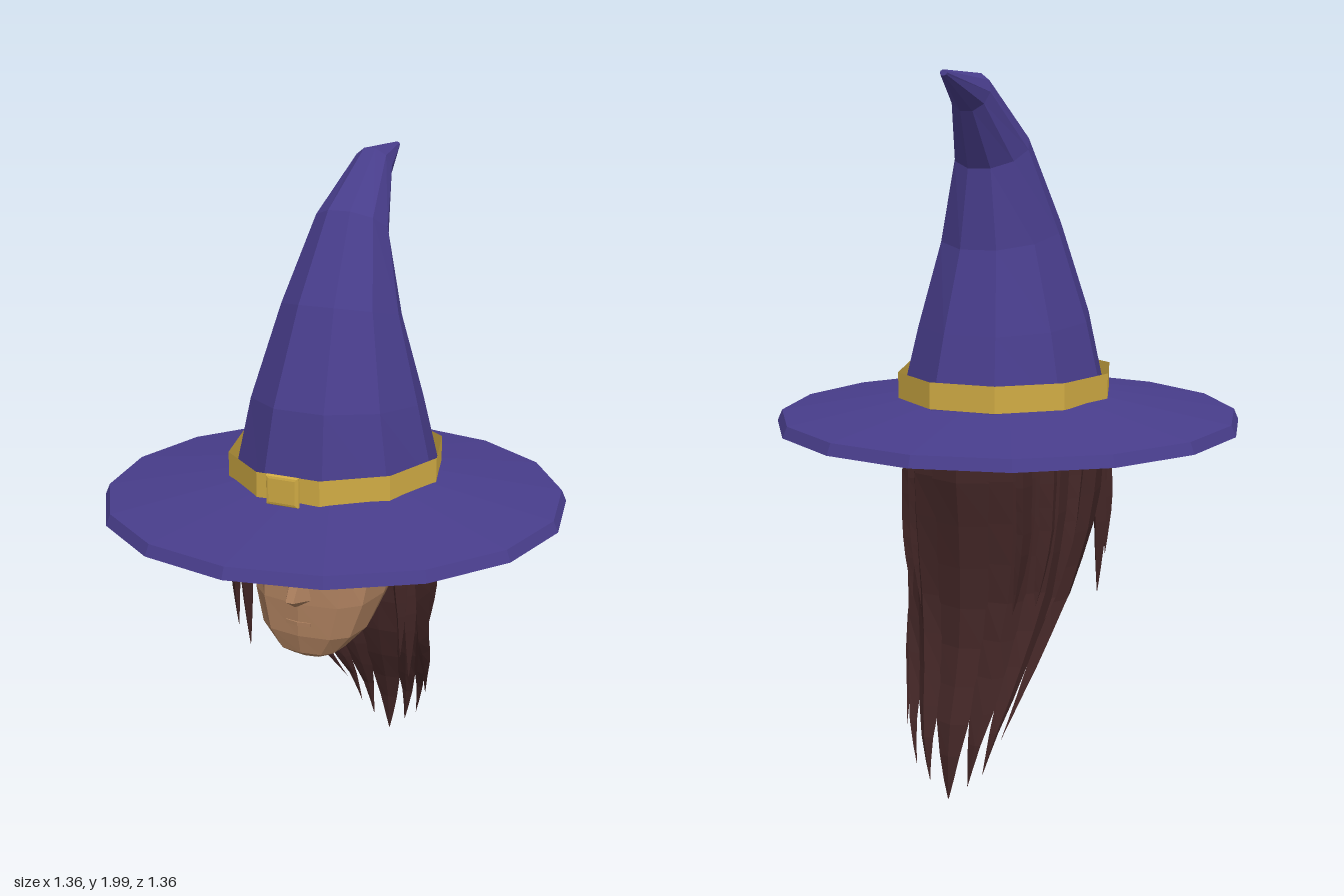
import * as THREE from 'three';
import { ConvexGeometry } from 'three/addons/geometries/ConvexGeometry.js';
import { mergeGeometries } from 'three/addons/utils/BufferGeometryUtils.js';

const flat = (name, color, side = THREE.FrontSide) =>
  new THREE.MeshStandardMaterial({ name, color, side, flatShading: true });
const purple = flat('purple felt', 0x483d8b);
const gold = flat('gold', 0xd0ab44, THREE.DoubleSide);
const hairBrown = flat('hair brown', 0x412525);
const skin = flat('skin', 0xa97d5c);
const dark = flat('brow brown', 0x3a1a16);
const eyeWhite = flat('eye white', 0xd8c4b4);

// Skin over a stack of rings, listed bottom to top, each counter-clockwise from above
function loft(rings, caps = true) {
  const n = rings[0].length;
  const index = [];
  for (let r = 0; r < rings.length - 1; r++) {
    for (let i = 0; i < n; i++) {
      const a = r * n + i, b = r * n + (i + 1) % n;
      index.push(a, b, a + n, b + n, a + n, b);
    }
  }
  const top = (rings.length - 1) * n;
  for (let i = 1; caps && i < n - 1; i++) {
    index.push(0, i + 1, i, top, top + i, top + i + 1);
  }
  let g = new THREE.BufferGeometry();
  g.setAttribute('position', new THREE.Float32BufferAttribute(rings.flat(2), 3));
  g.setIndex(index);
  g = g.toNonIndexed();
  g.computeVertexNormals();
  return g;
}

// Linear lookup of column c in rows sorted by rising y
function lookup(rows, y, c) {
  for (let i = 1; i < rows.length; i++) {
    if (y <= rows[i][0] || i === rows.length - 1) {
      const t = Math.max(0, Math.min(1, (y - rows[i - 1][0]) / (rows[i][0] - rows[i - 1][0])));
      return rows[i - 1][c] + (rows[i][c] - rows[i - 1][c]) * t;
    }
  }
}

// Tilted ten-sided ring through a front and a back height
function hatRing([hw, zf, yf, zb, yb]) {
  return Array.from({ length: 10 }, (_, k) => {
    const a = Math.PI * (0.1 + 0.2 * k);
    const t = (Math.cos(a) / Math.cos(Math.PI / 10) + 1) / 2;
    return [hw * Math.sin(a), yb + (yf - yb) * t, zb + (zf - zb) * t];
  });
}

// Squarish twelve-sided head ring
function headRing([y, hw, zf, zb]) {
  const soft = v => Math.sign(v) * Math.abs(v) ** 0.7;
  return Array.from({ length: 12 }, (_, k) => {
    const a = k * Math.PI / 6;
    return [hw * soft(Math.sin(a)), y, (zf + zb) / 2 + (zf - zb) / 2 * soft(Math.cos(a))];
  });
}

// Hair curtain outline: y, half width, back z, front edge z
const curtain = [
  [0, 0.095, -0.455, -0.45], [0.1, 0.122, -0.45, -0.44], [0.2, 0.147, -0.435, -0.41],
  [0.3, 0.172, -0.395, -0.33], [0.42, 0.205, -0.36, -0.235], [0.56, 0.24, -0.345, -0.09],
  [0.75, 0.272, -0.35, 0.01], [0.9, 0.275, -0.37, 0.09], [1.06, 0.265, -0.36, 0.12],
];
function backHair(u, y) {
  const a = u * Math.PI / 2;
  const s = Math.sin(a), zb = lookup(curtain, y, 2), zf = lookup(curtain, y, 3);
  return {
    p: [Math.sign(s) * Math.abs(s) ** 0.8 * lookup(curtain, y, 1), y, zb + (zf - zb) * (1 - Math.cos(a))],
    n: [s, 0, -Math.cos(a)],
  };
}
const templeHair = s => (u, y) => ({
  p: [s * (0.245 + 0.07 * Math.min(0.3, 1.04 - y)), y, s * u - 0.04 * (1.04 - y)],
  n: [s, 0, 0],
});

// Pointed lock with a diamond section, lying on a hair surface
function lock(surface, u, du, tip, thick, taper = 0.2) {
  const steps = 10, rings = [];
  for (let k = 0; k <= steps; k++) {
    const y = tip + (1.04 - tip) * (k / steps) ** 1.3;
    const w = Math.max(0.02, Math.min(1, (y - tip) / taper) ** 0.85);
    const { p, n } = surface(u, y);
    const off = d => p.map((v, i) => v + n[i] * d * w);
    rings.push([off(-thick * 0.6), surface(u + du * w, y).p, off(thick), surface(u - du * w, y).p]);
  }
  return loft(rings);
}

export function createModel() {
  const model = new THREE.Group();
  model.name = 'witchHead';
  const add = (name, geometry, material, parent = model) => {
    const m = new THREE.Mesh(geometry, material);
    m.name = name;
    parent.add(m);
    return m;
  };

  // Hat: brim, bent cone, band and buckle
  const hat = new THREE.Group();
  hat.name = 'hat';
  model.add(hat);
  const brim = [[0, 1.015], [0.682, 1.015], [0.668, 1.047], [0.3, 1.105], [0, 1.105]];
  add('brim', new THREE.LatheGeometry(brim.map(p => new THREE.Vector2(...p)), 16), purple, hat);
  add('hatCone', loft([
    [0.302, 0.287, 1.09, -0.34, 1.09], [0.248, 0.235, 1.34, -0.288, 1.3],
    [0.174, 0.12, 1.61, -0.225, 1.53], [0.108, -0.03, 1.85, -0.215, 1.75],
    [0.057, -0.24, 2, -0.3, 1.9], [0.01, -0.442, 2, -0.446, 1.985],
  ].map(hatRing)), purple, hat);
  add('hatBand', loft([1.1, 1.175].map(y => hatRing([0.312, 0.305, y, -0.343, y])), false), gold, hat);

  const plate = new THREE.Shape([[-1, -1], [1, -1], [1, 1], [-1, 1]]
    .map(([x, y]) => new THREE.Vector2(x * 0.04, y * 0.034)));
  add('buckle', new THREE.ExtrudeGeometry(plate, {
    depth: 0.006, bevelThickness: 0.006, bevelSize: 0.009, bevelSegments: 2,
  }), gold, hat).position.set(0, 1.143, 0.331);

  // Head and nose
  add('head', loft([
    [0.588, 0.065, 0.205, 0.06], [0.61, 0.1, 0.235, 0.04], [0.67, 0.155, 0.25, -0.03],
    [0.77, 0.19, 0.25, -0.12], [0.88, 0.202, 0.24, -0.25], [1, 0.208, 0.26, -0.28],
    [1.04, 0.205, 0.25, -0.28],
  ].map(headRing)), skin);
  add('nose', new ConvexGeometry([
    [-0.015, 0.9, 0.235], [0.015, 0.9, 0.235], [-0.042, 0.785, 0.235], [0.042, 0.785, 0.235],
    [-0.012, 0.795, 0.303], [0.012, 0.795, 0.303], [0, 0.77, 0.27], [0, 0.76, 0.24],
  ].map(p => new THREE.Vector3(...p))), skin);

  // Face details, mirrored
  for (const s of [1, -1]) {
    const side = s > 0 ? 'left' : 'right';
    const eye = new THREE.Group();
    eye.name = side + 'Eye';
    eye.position.set(s * 0.095, 0.907, 0.228);
    eye.rotation.set(0.15, s * 0.2, 0);
    model.add(eye);
    const disc = (name, rx, ry, z, mat) => {
      const m = add(name, new THREE.CircleGeometry(1, 10), mat, eye);
      m.scale.set(rx, ry, 1);
      m.position.z = z;
    };
    disc('lashLine', 0.044, 0.016, 0.002, dark);
    disc('eyeball', 0.028, 0.007, 0.004, eyeWhite);
    disc('iris', 0.011, 0.009, 0.006, dark);

    const brow = add(side + 'Brow', new THREE.BoxGeometry(0.1, 0.014, 0.009), dark);
    brow.position.set(s * 0.088, 0.963, 0.239);
    brow.rotation.set(0.15, s * 0.2, s * 0.05);

    const mouth = add(side + 'Lip', new THREE.BoxGeometry(0.04, 0.012, 0.009), skin);
    mouth.position.set(s * 0.019, 0.71, 0.247);
    mouth.rotation.y = s * 0.2;
  }

  // Long back hair: broad locks, longest in the middle, with shorter ones over the sides
  const back = [];
  const tips = [0.015, 0.06, 0.1, 0.2];
  for (let i = -3; i <= 3; i++) {
    back.push(lock(backHair, i * 2 / 7, 0.15, tips[Math.abs(i)], 0.016));
  }
  for (const s of [1, -1]) {
    [[0.34, 0.47], [0.52, 0.47], [0.7, 0.49]].forEach(([u, tip]) =>
      back.push(lock(backHair, s * u, 0.07, tip, 0.026)));
  }
  add('backHair', mergeGeometries(back), hairBrown);

  // Short locks hanging at the temples
  for (const s of [1, -1]) {
    const locks = [[0.138, 0.022, 0.6], [0.105, 0.025, 0.7], [0.07, 0.032, 0.5]]
      .map(([z, du, tip]) => lock(templeHair(s), s * z, du, tip, 0.024));
    add(s > 0 ? 'leftTempleHair' : 'rightTempleHair', mergeGeometries(locks), hairBrown);
  }
  return model;
}
